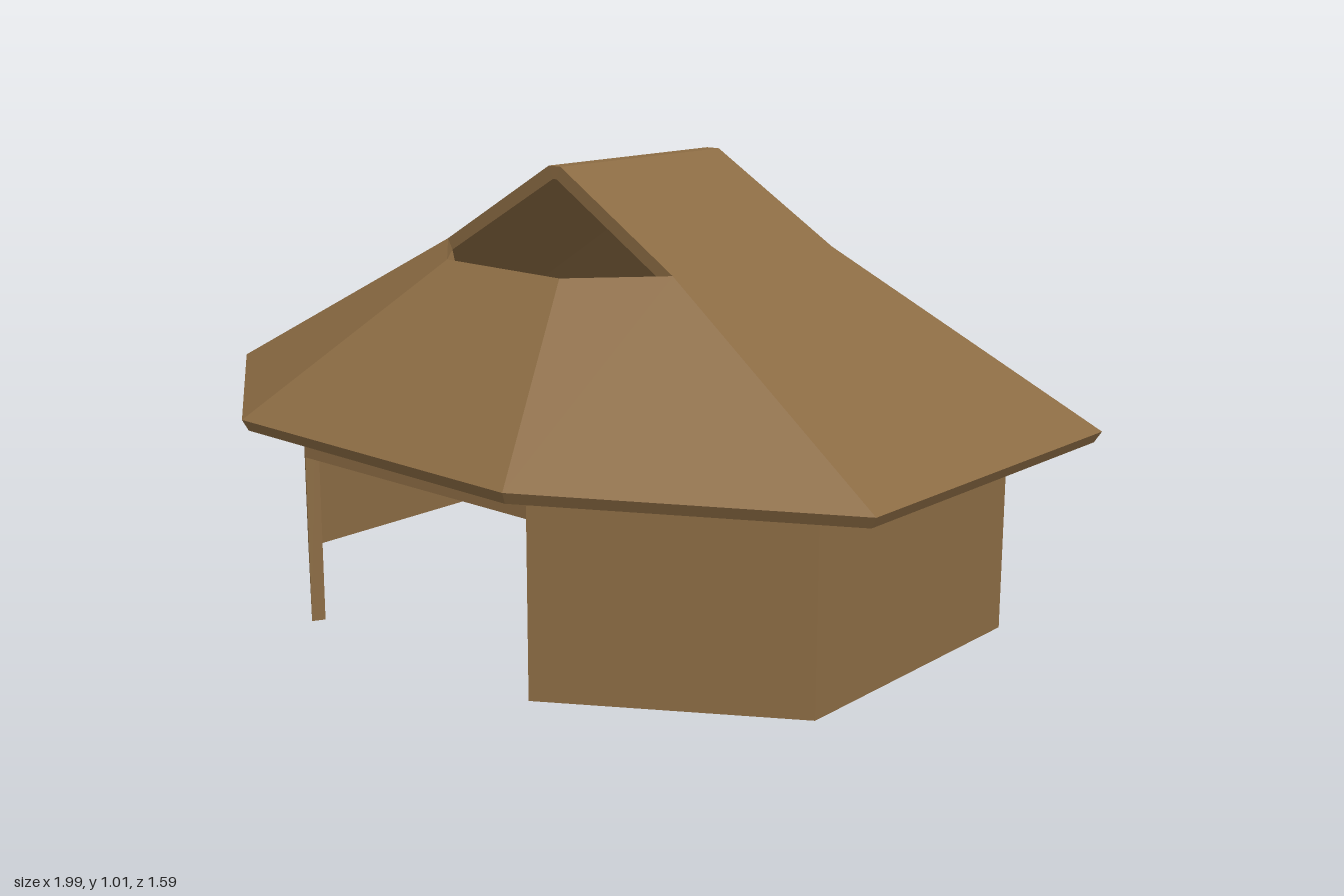
import * as THREE from 'three';

const wood = new THREE.MeshStandardMaterial({ color: 0x8b6b43 });
wood.name = 'brown wood';

// Closed slab between an outer polygon (counter-clockwise from outside) and its inner twin
function slab(name, outer, inner) {
  const p = [];
  const tri = (a, b, c) => p.push(...a, ...b, ...c);
  const n = outer.length;
  for (let i = 1; i < n - 1; i++) {
    tri(outer[0], outer[i], outer[i + 1]);
    tri(inner[0], inner[i + 1], inner[i]);
  }
  for (let i = 0; i < n; i++) {
    const j = (i + 1) % n;
    tri(outer[i], inner[i], inner[j]);
    tri(outer[i], inner[j], outer[j]);
  }
  const g = new THREE.BufferGeometry();
  g.setAttribute('position', new THREE.Float32BufferAttribute(p, 3));
  g.computeVertexNormals();
  const mesh = new THREE.Mesh(g, wood);
  mesh.name = name;
  return mesh;
}

// Full ring of corners from its front half, by a half turn about y
const ring = (half) => [...half, ...half.map(([x, y, z]) => [-x, y, -z])];
// Inner corners: shrink in x and z, drop in y
const inset = (pts, sx, drop, sz) => pts.map(([x, y, z]) => [x * sx, y - drop, z * sz]);

export function createModel() {
  const model = new THREE.Group();
  model.name = 'hut';

  // Eight-sided wall, with a doorway and lintel in the front side
  const walls = new THREE.Group();
  walls.name = 'walls';
  walls.position.set(-0.013, 0, 0.01);
  const plan = ring([[0.823, 0, 0.345], [0.345, 0, 0.66], [-0.337, 0, 0.68], [-0.803, 0, 0.34]]);
  for (let i = 0; i < 8; i++) {
    const a = plan[i], b = plan[(i + 1) % 8];
    const bottom = i === 1 ? 0.38 : 0;
    const top = 0.545;
    const face = [[b[0], bottom, b[2]], [a[0], bottom, a[2]], [a[0], top, a[2]], [b[0], top, b[2]]];
    walls.add(slab(i === 1 ? 'doorLintel' : 'wallPanel', face, inset(face, 0.96, 0, 0.96)));
  }
  model.add(walls);

  // Roof corners: eaves, upper ring around the smoke holes, and ridge
  const roof = new THREE.Group();
  roof.name = 'roof';
  const eave = ring([[0.995, 0.47, 0.43], [0.39, 0.47, 0.785], [-0.43, 0.47, 0.795], [-0.98, 0.47, 0.395]]);
  const upper = ring([[0.36, 0.815, 0.277], [0.17, 0.805, 0.415], [-0.18, 0.805, 0.415], [-0.36, 0.815, 0.255]]);
  const ridge = ring([[0.018, 1.01, 0.26], [-0.018, 1.01, 0.26]]);
  const eaveIn = inset(eave, 0.985, 0.025, 0.985);
  const gableIn = inset(upper, 0.96, 0.025, 1);
  const sillIn = inset(upper, 0.95, 0.021, 0.955);
  const upperIn = upper.map((_, i) => (i % 4 === 0 || i % 4 === 3 ? gableIn[i] : sillIn[i]));
  const ridgeIn = inset(ridge, 0.3, 0.028, 1);

  // Sloping panels all round
  for (let i = 0; i < 8; i++) {
    const j = (i + 1) % 8;
    roof.add(slab('roofPanel',
      [eave[j], eave[i], upper[i], upper[j]],
      [eaveIn[j], eaveIn[i], upperIn[i], upperIn[j]]));
  }
  // Two upper side panels that meet at the ridge, open at both gables
  for (const [t, r] of [[3, 1], [7, 3]]) {
    const t2 = (t + 1) % 8, r2 = (r + 1) % 4;
    roof.add(slab('upperRoofPanel',
      [upper[t2], upper[t], ridge[r], ridge[r2]],
      [upperIn[t2], upperIn[t], ridgeIn[r], ridgeIn[r2]]));
  }
  // Narrow flat ridge
  const cap = [1, 0, 3, 2];
  roof.add(slab('ridgeCap', cap.map((i) => ridge[i]), cap.map((i) => ridgeIn[i])));
  model.add(roof);
  return model;
}
